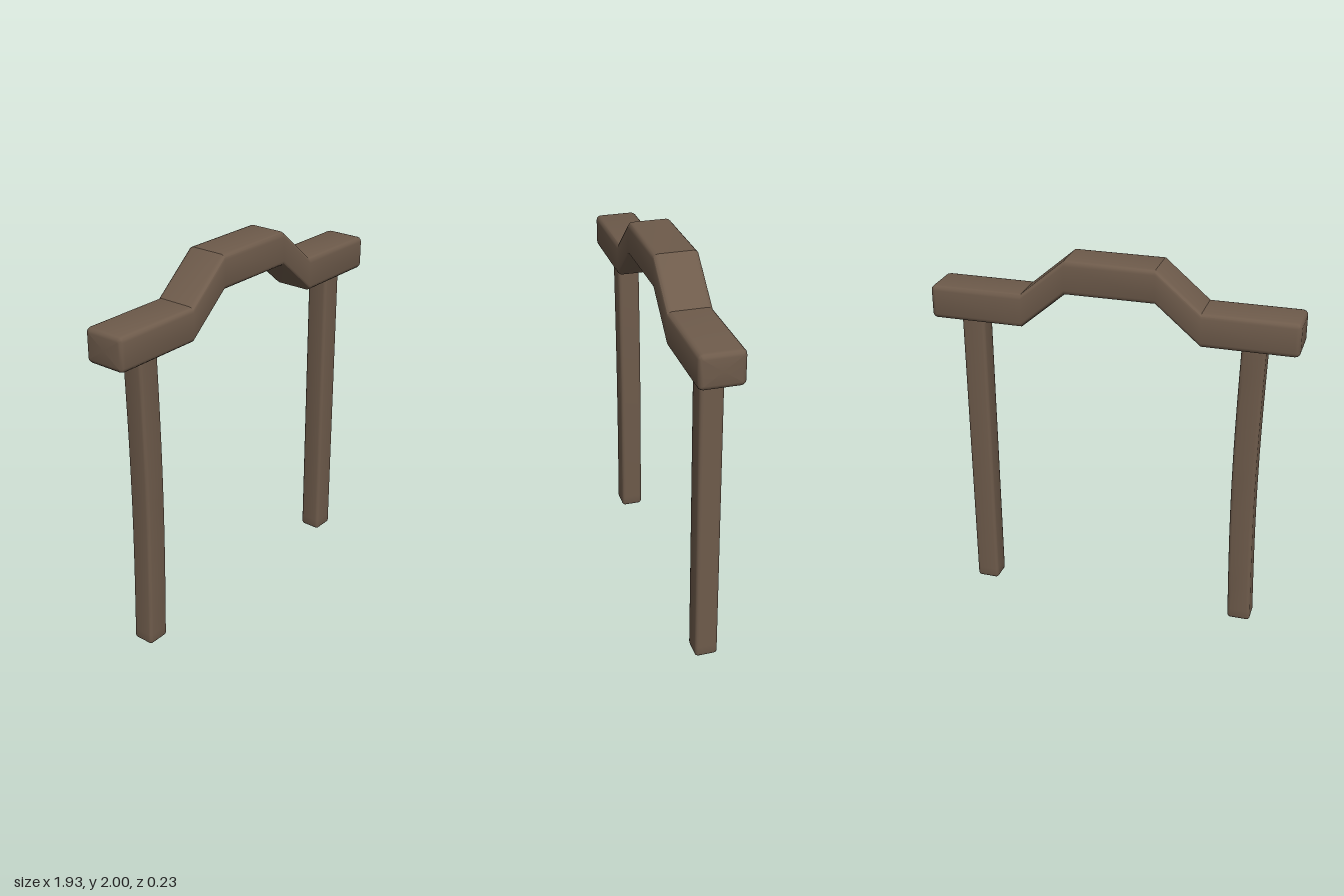
import * as THREE from 'three';
import { toCreasedNormals } from 'three/addons/utils/BufferGeometryUtils.js';

const STEPS = 3; // segments in each rounded edge

// Rounded rectangle loop in the y/z plane, shrunk by inset
function ring(x, yOffset, halfY, halfZ, radius, inset) {
  const r = Math.max(radius - inset, 0.001);
  const points = [];
  [[1, 1], [-1, 1], [-1, -1], [1, -1]].forEach(([sy, sz], corner) => {
    for (let k = 0; k <= STEPS; k++) {
      const a = (corner + k / STEPS) * Math.PI / 2;
      points.push([
        x,
        yOffset + sy * (halfY - radius) + r * Math.cos(a),
        sz * (halfZ - radius) + r * Math.sin(a),
      ]);
    }
  });
  return points;
}

// Rounded bar along x, whose sections are shifted in y by offset(x)
function roundedBar(x0, x1, halfY, halfZ, radius, inner, offset) {
  const stations = inner.map((x) => [x, 0]);
  for (let k = STEPS; k >= 0; k--) {
    const a = (k / STEPS) * Math.PI / 2;
    const t = radius * (1 - Math.cos(a));
    const inset = radius * (1 - Math.sin(a));
    stations.unshift([x0 + t, inset]);
    stations.push([x1 - t, inset]);
  }
  const rings = stations.map(([x, inset]) => ring(x, offset(x), halfY, halfZ, radius, inset));
  const n = rings[0].length;
  const last = rings.length - 1;
  const positions = rings.flat(2);
  positions.push(x0, offset(x0), 0, x1, offset(x1), 0);
  const start = rings.length * n;
  const index = [];
  for (let j = 0; j < n; j++) {
    const m = (j + 1) % n;
    for (let i = 0; i < last; i++) {
      const a = i * n + j, b = a + n, c = (i + 1) * n + m, d = i * n + m;
      index.push(a, d, c, a, c, b);
    }
    index.push(start, m, j, start + 1, last * n + j, last * n + m);
  }
  const geometry = new THREE.BufferGeometry();
  geometry.setAttribute('position', new THREE.Float32BufferAttribute(positions, 3));
  geometry.setIndex(index);
  return geometry;
}

export function createModel() {
  const group = new THREE.Group();
  const wood = new THREE.MeshStandardMaterial({ color: 0x6e5b4b });

  const add = (name, geometry, x, y) => {
    const mesh = new THREE.Mesh(toCreasedNormals(geometry, 0.58), wood);
    mesh.name = name;
    mesh.position.set(x, y, 0);
    group.add(mesh);
  };

  // Crossbeam with a raised middle, stepped up by two sloping runs
  const outer = 0.47, inner = 0.235, rise = 0.2;
  const lift = (x) => rise * THREE.MathUtils.clamp((outer - Math.abs(x)) / (outer - inner), 0, 1);
  const beam = roundedBar(-0.963, 0.963, 0.089, 0.115, 0.026, [-outer, -inner, inner, outer], lift);
  add('crossbeam', beam, 0, 1.714);

  // Posts: one straight, one gently bowed inward
  const height = 1.66;
  const post = (bow) => {
    const levels = Array.from({ length: 11 }, (_, i) => 0.06 + (i / 10) * (height - 0.12));
    const bend = (t) => -bow * Math.sin((Math.PI * t) / height);
    return roundedBar(0, height, 0.0625, 0.06, 0.018, levels, bend).rotateZ(Math.PI / 2);
  };
  add('leftPost', post(0), 0.757, 0);
  add('rightPost', post(0.016), -0.729, 0);

  return group;
}
